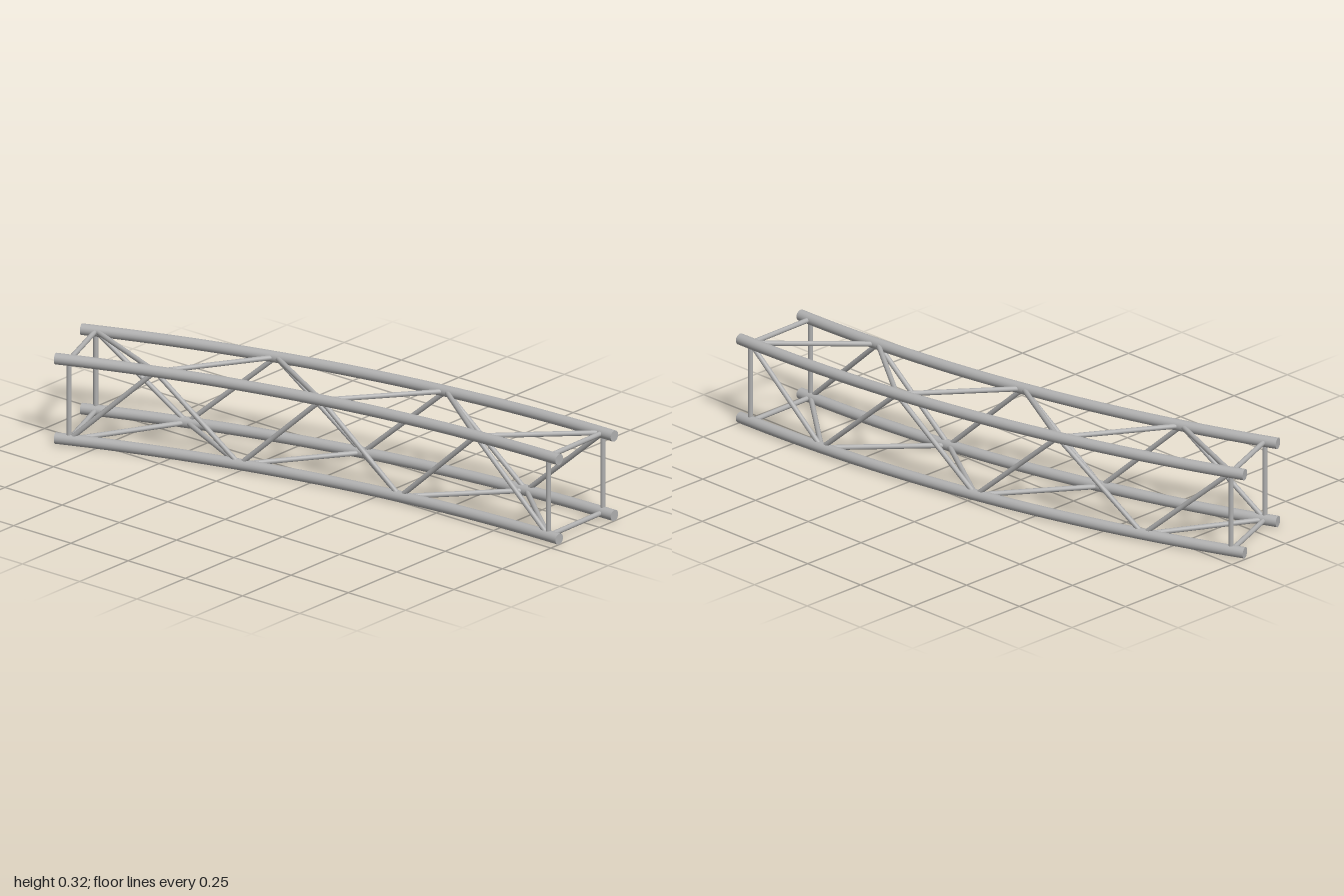
import * as THREE from 'three';

const CX = -4.8785, CZ = 1;              // centre of the bend
const R_IN = 4.922, R_OUT = 5.2065;      // inner and outer chord radii
const Y_LOW = 0.0195, Y_HIGH = 0.3035;
const CHORD_R = 0.0195, BRACE_R = 0.0088;
const SWEEP = Math.PI / 8, INSET = 0.0096, PANELS = 6;

const onArc = (radius, y, angle) => new THREE.Vector3(
  CX + radius * Math.cos(angle), y, CZ - radius * Math.sin(angle));

class ChordCurve extends THREE.Curve {
  constructor(radius, y) {
    super();
    this.radius = radius;
    this.y = y;
  }
  getPoint(t, target = new THREE.Vector3()) {
    return target.copy(onArc(this.radius, this.y, t * SWEEP));
  }
}

export function createModel() {
  const group = new THREE.Group();
  const metal = new THREE.MeshStandardMaterial({ color: 0xb0b0b0 });
  metal.name = 'aluminium grey';

  const add = (name, geometry, parent = group) => {
    const mesh = new THREE.Mesh(geometry, metal);
    mesh.name = name;
    parent.add(mesh);
    return mesh;
  };

  // Curved main tube with a flat cap on each end
  const addChord = (name, radius, y) => {
    const chord = new THREE.Group();
    chord.name = name;
    group.add(chord);
    add('tube', new THREE.TubeGeometry(new ChordCurve(radius, y), 32, CHORD_R, 20), chord);
    const cap = new THREE.CircleGeometry(CHORD_R, 20);
    add('frontCap', cap, chord).position.copy(onArc(radius, y, 0));
    const back = add('backCap', cap, chord);
    back.position.copy(onArc(radius, y, SWEEP));
    back.rotation.y = Math.PI + SWEEP;
  };

  // Straight thin rod between two joints
  const up = new THREE.Vector3(0, 1, 0);
  const addRod = (name, a, b) => {
    const dir = b.clone().sub(a);
    const rod = add(name, new THREE.CylinderGeometry(BRACE_R, BRACE_R, dir.length(), 12, 1, true));
    rod.position.copy(a).add(b).multiplyScalar(0.5);
    rod.quaternion.setFromUnitVectors(up, dir.normalize());
  };

  addChord('innerLowerChord', R_IN, Y_LOW);
  addChord('innerUpperChord', R_IN, Y_HIGH);
  addChord('outerLowerChord', R_OUT, Y_LOW);
  addChord('outerUpperChord', R_OUT, Y_HIGH);

  const joint = (radius, y, k) =>
    onArc(radius, y, INSET + (SWEEP - 2 * INSET) * k / PANELS);

  // Square frame of rods near each end
  for (const [end, k] of [['front', 0], ['back', PANELS]]) {
    for (const y of [Y_LOW, Y_HIGH]) addRod(end + 'Crossbar', joint(R_IN, y, k), joint(R_OUT, y, k));
    for (const r of [R_IN, R_OUT]) addRod(end + 'Upright', joint(r, Y_LOW, k), joint(r, Y_HIGH, k));
  }

  // Zigzag braces on each face: [name, even joint chord, odd joint chord]
  const faces = [
    ['innerBrace', [R_IN, Y_LOW], [R_IN, Y_HIGH]],
    ['outerBrace', [R_OUT, Y_HIGH], [R_OUT, Y_LOW]],
    ['topBrace', [R_OUT, Y_HIGH], [R_IN, Y_HIGH]],
    ['bottomBrace', [R_IN, Y_LOW], [R_OUT, Y_LOW]],
  ];
  for (const [name, ...chords] of faces) {
    for (let k = 0; k < PANELS; k++) {
      addRod(name, joint(...chords[k % 2], k), joint(...chords[(k + 1) % 2], k + 1));
    }
  }
  return group;
}
